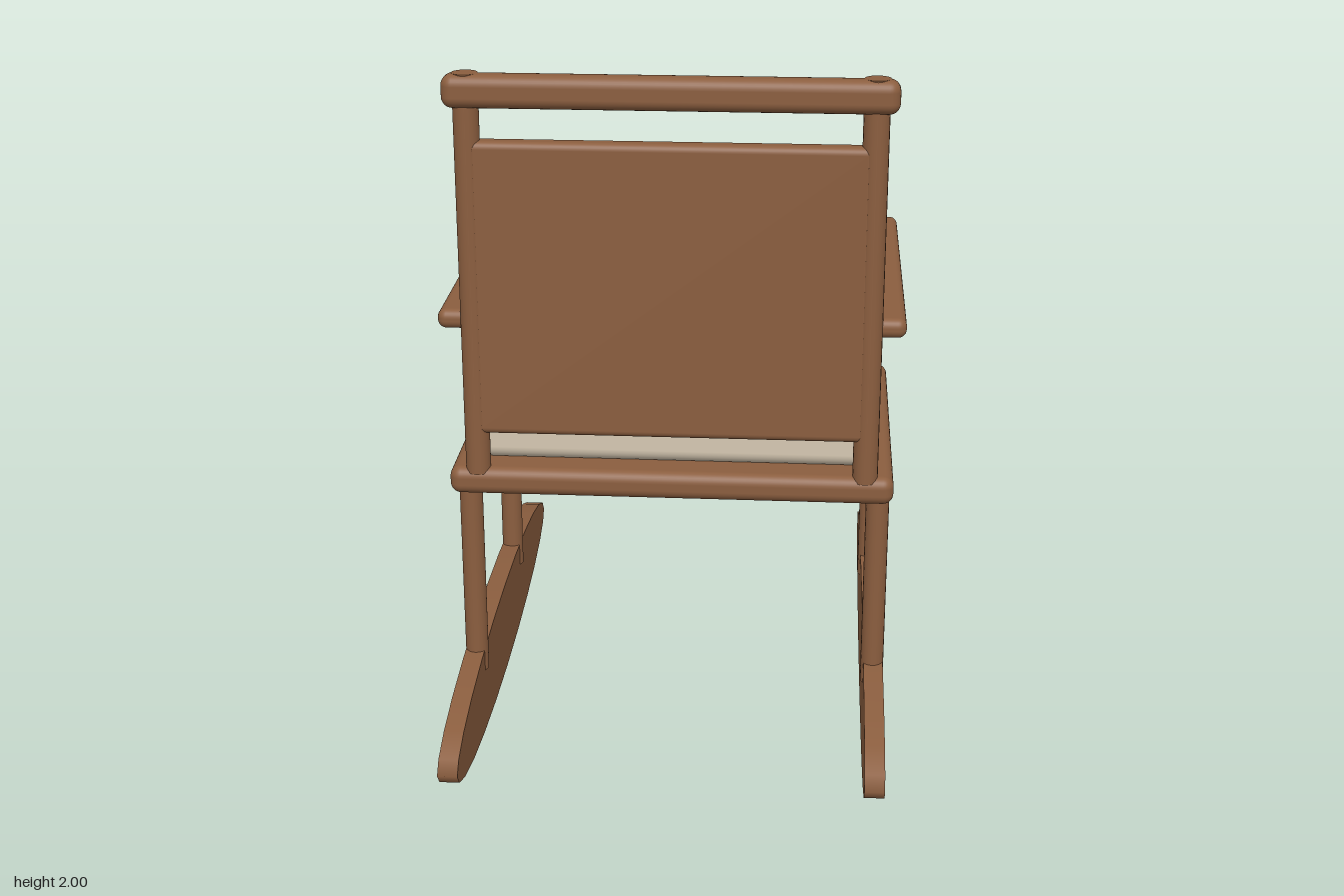
import * as THREE from 'three';
import { RoundedBoxGeometry } from 'three/addons/geometries/RoundedBoxGeometry.js';

export function createModel() {
  const chair = new THREE.Group();
  chair.name = 'rockingChair';
  const wood = new THREE.MeshStandardMaterial({ color: 0x8b5e3f });
  const fabric = new THREE.MeshStandardMaterial({ color: 0xd6c8b2 });

  function add(name, geometry, material, x, y, z) {
    const mesh = new THREE.Mesh(geometry, material);
    mesh.name = name;
    mesh.position.set(x, y, z);
    chair.add(mesh);
    return mesh;
  }
  // Rounded block given by its size and centre
  const block = (name, material, [w, h, d], radius, [x, y, z]) =>
    add(name, new RoundedBoxGeometry(w, h, d, 4, radius), material, x, y, z);
  // Upright round post between two heights
  const post = (name, radius, x, z, y0, y1) =>
    add(name, new THREE.CylinderGeometry(radius, radius, y1 - y0, 20), wood, x, (y0 + y1) / 2, z);

  // Seat and backrest; the backrest stands at +z
  block('seat', wood, [1.24, 0.08, 0.96], 0.03, [0, 0.845, 0.022]);
  block('seatCushion', fabric, [1.1, 0.12, 0.86], 0.04, [0, 0.942, -0.009]);
  block('backPanel', wood, [1.08, 0.83, 0.06], 0.02, [0, 1.405, 0.469]);
  block('backCushion', fabric, [0.92, 0.72, 0.115], 0.045, [0, 1.405, 0.395]);
  block('topRail', wood, [1.2, 0.09, 0.078], 0.03, [0, 1.955, 0.48]);

  // Mirrored side parts
  for (const [side, s] of [['left', 1], ['right', -1]]) {
    post(side + 'BackPost', 0.035, s * 0.54, 0.469, 0.87, 2);
    block(side + 'Armrest', wood, [0.12, 0.055, 1.035], 0.024, [s * 0.58, 1.315, -0.04]);
    post(side + 'ArmPost', 0.027, s * 0.577, -0.398, 0.87, 1.31);
    post(side + 'RearLeg', 0.033, s * 0.58, 0.38, 0.2, 0.83);
    post(side + 'FrontLeg', 0.033, s * 0.58, -0.34, 0.2, 0.83);

    // Flat elliptical rocker: a disc on edge, squashed in height
    const disc = new THREE.CylinderGeometry(1, 1, 0.056, 24);
    disc.rotateZ(Math.PI / 2).scale(1, 0.14, 0.9);
    add(side + 'Rocker', disc, wood, s * 0.583, 0.14, 0);
  }
  return chair;
}
